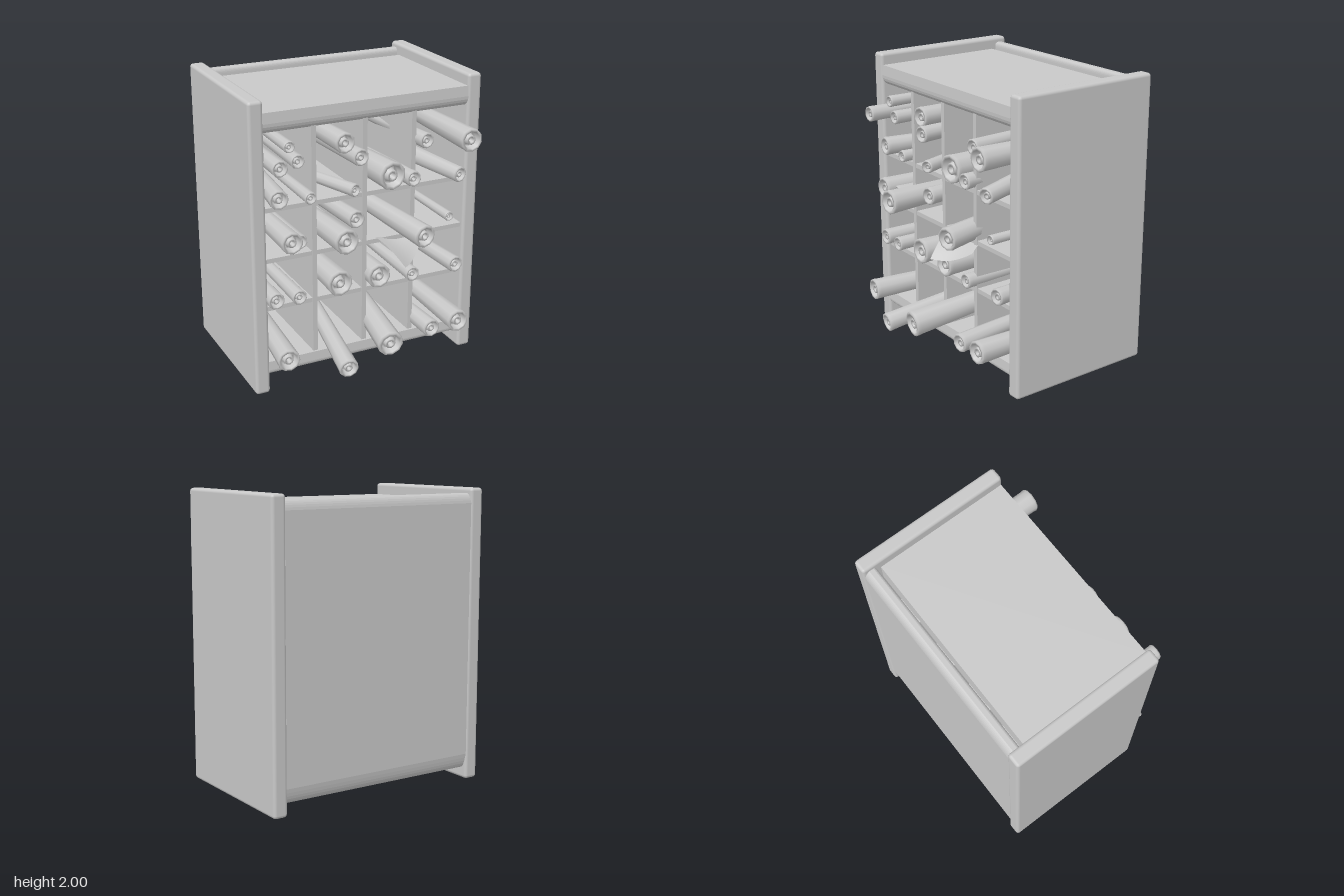
import * as THREE from 'three';
import { RoundedBoxGeometry } from 'three/addons/geometries/RoundedBoxGeometry.js';

const grey = new THREE.MeshStandardMaterial({ color: 0xc8c8c8, side: THREE.DoubleSide });
grey.name = 'plain grey';

const TURN = 0.107; // the cabinet's slant: z gained per unit of x

function add(parent, name, geometry, x = 0, y = 0, z = 0) {
  const mesh = new THREE.Mesh(geometry, grey);
  mesh.name = name;
  mesh.position.set(x, y, z);
  parent.add(mesh);
  return mesh;
}

// Extrude a side profile (z, y) across the width of the cabinet
function acrossWidth(shape, width) {
  const g = new THREE.ExtrudeGeometry(shape, { depth: width, bevelEnabled: false, curveSegments: 6 });
  return g.translate(0, 0, -width / 2).rotateY(-Math.PI / 2);
}

// Slab with a rounded lower front edge
function slabProfile(y0, y1, nose) {
  const s = new THREE.Shape();
  s.moveTo(-0.41, y0);
  s.lineTo(0.53 - nose, y0);
  s.quadraticCurveTo(0.53, y0, 0.53, y0 + nose);
  s.lineTo(0.525, y1);
  s.lineTo(-0.41, y1);
  s.closePath();
  return s;
}

// Rear board with rounded rails along its top and bottom
function backProfile() {
  const s = new THREE.Shape();
  s.moveTo(-0.44, 0.08);
  s.lineTo(-0.49, 0.08);
  s.quadraticCurveTo(-0.515, 0.09, -0.527, 0.18);
  s.lineTo(-0.527, 1.9);
  s.quadraticCurveTo(-0.52, 1.955, -0.49, 1.965);
  s.lineTo(-0.46, 1.965);
  s.quadraticCurveTo(-0.44, 1.96, -0.44, 1.93);
  s.closePath();
  return s;
}

// Rolled paper resting on a level: flared tube with a recessed ring and an inner roll.
// out: how far it sticks out; dx, dy: drift towards the back; flare: back radius / front radius
function scroll(parent, base, x, r, { out = 0.05, lift = 0, dx = 0.09, dy = 0, flare = 0.74 } = {}) {
  const front = new THREE.Vector3(x, base + r + lift, 0.43 + TURN * x + out);
  const dir = new THREE.Vector3(-dx, -dy, 0.82);
  const length = dir.length();
  dir.normalize();
  const profile = [
    [0, 0], [flare, 0], [0.97, length - 0.03], [1, length - 0.01], [0.93, length], [0.74, length],
    [0.66, length - 0.05], [0.46, length - 0.05], [0.4, length - 0.01], [0.22, length - 0.01],
    [0.15, length - 0.06], [0, length - 0.06],
  ].map(([a, b]) => new THREE.Vector2(a * r, b));
  const mesh = add(parent, 'scroll', new THREE.LatheGeometry(profile, 10));
  mesh.quaternion.setFromUnitVectors(new THREE.Vector3(0, 1, 0), dir);
  mesh.position.copy(front).addScaledVector(dir, -length);
}

// Loose sheet hanging over a shelf edge, bent between four corners
function looseSheet(parent) {
  const g = new THREE.PlaneGeometry(1, 1, 6, 6);
  const p = g.attributes.position;
  const [a, b, c, d] = [[0, 0.97, 0.42], [0.08, 0.82, 0.66], [0.29, 0.96, 0.32], [0.31, 0.88, 0.5]]
    .map((v) => new THREE.Vector3(...v));
  for (let i = 0; i < p.count; i++) {
    const u = p.getX(i) + 0.5, v = 0.5 - p.getY(i);
    const q = a.clone().lerp(b, v).lerp(c.clone().lerp(d, v), u);
    p.setXYZ(i, q.x, q.y - 0.03 * Math.sin(Math.PI * u) + 0.02 * Math.sin(Math.PI * v), q.z);
  }
  g.computeVertexNormals();
  add(parent, 'looseSheet', g);
}

// One list per pigeonhole row: mouth x, radius, and whatever differs from a plain scroll
const rows = [
  { base: 0.23, rolls: [
    [-0.725, 0.077, { out: 0.18, dx: 0.17 }],
    [-0.37, 0.068, { out: 0.3, lift: -0.08, dx: 0.18, dy: 0.13 }],
    [-0.06, 0.09, { out: 0.29, dx: 0.17, dy: 0.1 }],
    [0.33, 0.065, { out: 0.17, dx: 0.04, dy: 0.03 }],
    [0.53, 0.08, { out: 0.18 }],
  ] },
  { base: 0.62, rolls: [
    [-0.735, 0.058], [-0.575, 0.052], [-0.285, 0.09], [0, 0.085], [0.25, 0.052],
    [0.585, 0.058, { dx: 0.03 }],
  ] },
  { base: 1.01, rolls: [
    [-0.65, 0.075, { out: 0.11 }], [-0.565, 0.05],
    [-0.36, 0.085, { out: 0.26, dx: 0.05 }],
    [-0.17, 0.062, { lift: 0.07, dx: 0.02 }],
    [0.24, 0.08, { out: 0.2, lift: -0.09, dx: -0.03, dy: 0.05 }],
    [0.52, 0.034],
  ] },
  { base: 1.3, rolls: [
    [-0.705, 0.065, { dx: 0.18 }], [-0.49, 0.042],
    [-0.18, 0.045, { dx: -0.19 }],
    [0.09, 0.098, { dx: 0.03 }],
    [0.245, 0.055, { dx: 0.04 }],
    [0.55, 0.055, { out: 0.11, dx: -0.12, dy: 0.055, flare: 1.2 }],
  ] },
  { base: 1.55, rolls: [
    [-0.745, 0.055, { out: 0.15 }],
    [-0.63, 0.04, { lift: 0.11 }],
    [-0.575, 0.048],
    [-0.25, 0.07, { lift: 0.05, dx: 0.05 }],
    [-0.17, 0.058, { out: 0.1, lift: -0.03, dx: 0.01 }],
    [0.335, 0.054, { dx: 0.01 }],
    [0.57, 0.08, { out: 0.19, lift: -0.02 }],
  ] },
];

export function createModel() {
  const model = new THREE.Group();
  model.name = 'scrollCabinet';

  // Cabinet, turned slightly
  const cabinet = new THREE.Group();
  cabinet.name = 'cabinet';
  cabinet.rotation.y = -Math.atan(TURN);
  cabinet.position.z = -0.1;
  model.add(cabinet);

  for (const [side, name] of [[1, 'leftPanel'], [-1, 'rightPanel']]) {
    add(cabinet, name, new RoundedBoxGeometry(0.1, 2, 1.07, 2, 0.022), side * 0.77, 1, 0);
  }
  add(cabinet, 'topBoard', acrossWidth(slabProfile(1.78, 1.92, 0.07), 1.45));
  add(cabinet, 'bottomBoard', acrossWidth(slabProfile(0.135, 0.225, 0.03), 1.45));
  add(cabinet, 'backBoard', acrossWidth(backProfile(), 1.45));

  // Pigeonholes
  for (const x of [-0.38, -0.02, 0.335]) {
    add(cabinet, 'divider', new THREE.BoxGeometry(0.033, 1.6, 0.94), x, 1, 0.04);
  }
  for (const y of [0.6, 0.935, 1.28]) {
    add(cabinet, 'shelf', new THREE.BoxGeometry(1.45, 0.03, 0.93), 0, y, 0.04);
  }

  // Contents
  const scrolls = new THREE.Group();
  scrolls.name = 'scrolls';
  model.add(scrolls);
  for (const { base, rolls } of rows) {
    for (const [x, r, options] of rolls) scroll(scrolls, base, x, r, options);
  }
  looseSheet(model);

  return model;
}
